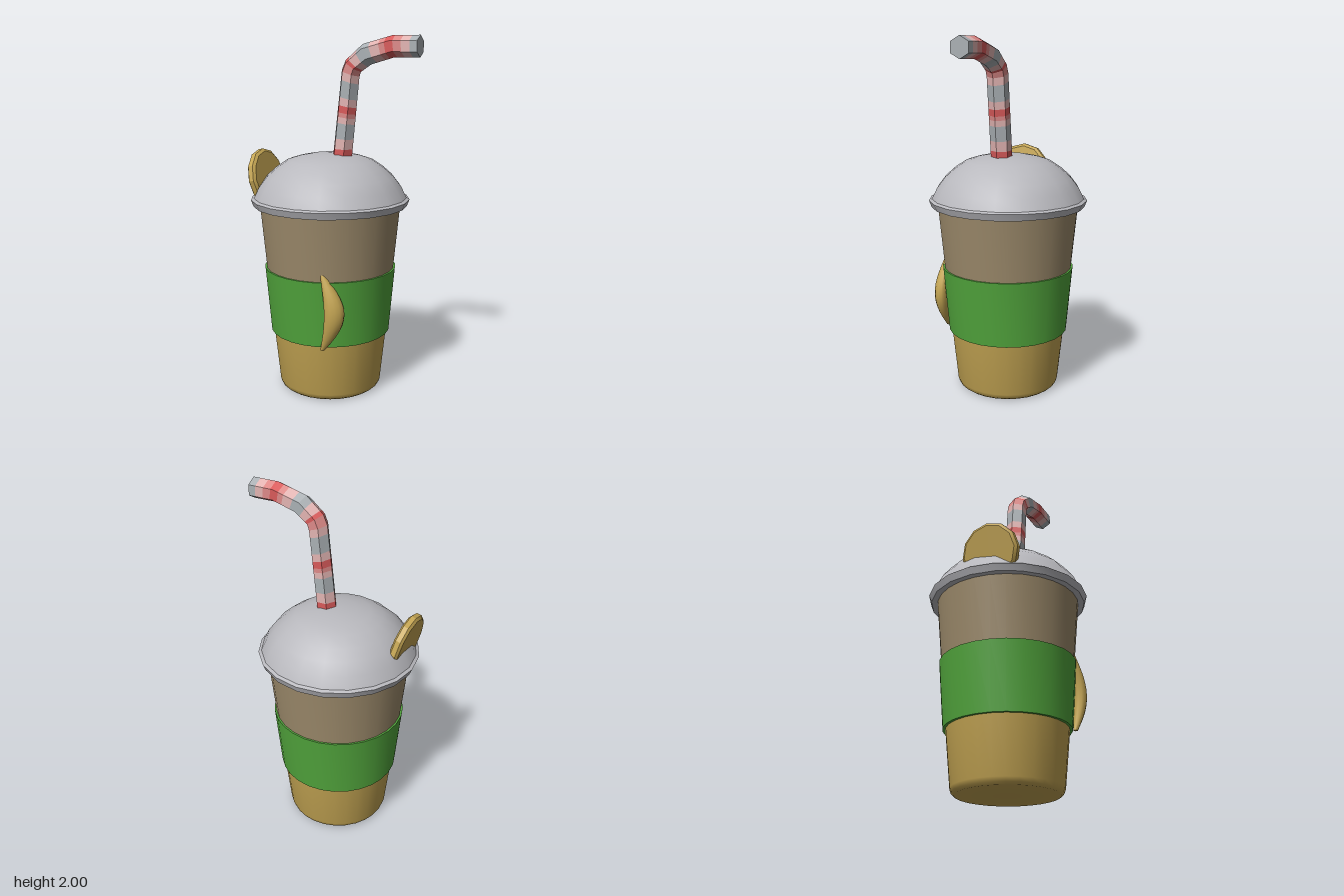
import * as THREE from 'three';
import { toCreasedNormals } from 'three/addons/utils/BufferGeometryUtils.js';

const mat = (name, color) => {
  const m = new THREE.MeshStandardMaterial({ color });
  m.name = name;
  return m;
};

const mesh = (name, geometry, material) => {
  const m = new THREE.Mesh(geometry, material);
  m.name = name;
  return m;
};

// Turned part with edges kept sharp above the crease angle
const lathe = (profile, sides, crease) => toCreasedNormals(
  new THREE.LatheGeometry(profile.map(([r, y]) => new THREE.Vector2(r, y)), sides), crease);

// Skin over a list of closed cross-sections, with optional end caps
function loft(rings, capStart, capEnd, crease) {
  const pos = [];
  const tri = (...pts) => pts.forEach(p => pos.push(p.x, p.y, p.z));
  const n = rings[0].length;
  for (let k = 0; k < rings.length - 1; k++) {
    for (let i = 0; i < n; i++) {
      const j = (i + 1) % n, a = rings[k], b = rings[k + 1];
      tri(a[i], a[j], b[j]);
      tri(a[i], b[j], b[i]);
    }
  }
  const first = rings[0], last = rings[rings.length - 1];
  for (let i = 1; i < n - 1; i++) {
    if (capStart) tri(first[0], first[i + 1], first[i]);
    if (capEnd) tri(last[0], last[i], last[i + 1]);
  }
  const g = new THREE.BufferGeometry();
  g.setAttribute('position', new THREE.Float32BufferAttribute(pos, 3));
  g.computeVertexNormals();
  return toCreasedNormals(g, crease);
}

// Hexagonal bent straw cut into coloured stripes
function makeStraw(red, rose, pink, grey) {
  const straw = new THREE.Group();
  straw.name = 'straw';
  // outer x, y and inner x, y at each bend
  const bends = [
    [-0.018, 1.33, 0.098, 1.33], [0.037, 1.82, 0.142, 1.785], [0.06, 1.873, 0.15, 1.81],
    [0.16, 1.957, 0.21, 1.85], [0.328, 2.0, 0.343, 1.887], [0.484, 2.0, 0.484, 1.885],
  ];
  const ringAt = u => {
    const k = Math.min(Math.floor(u), bends.length - 2);
    const [ox, oy, ix, iy] = bends[k].map((v, i) => THREE.MathUtils.lerp(v, bends[k + 1][i], u - k));
    return Array.from({ length: 6 }, (_, i) => {
      const a = i * Math.PI / 3, c = Math.cos(a) / 2;
      return new THREE.Vector3((ox + ix) / 2 + (ox - ix) * c, (oy + iy) / 2 + (oy - iy) * c, 0.06 * Math.sin(a));
    });
  };
  // end of each stripe, counted in bends
  const stripes = [
    [0.13, red], [0.25, pink], [0.43, grey], [0.5, pink], [0.55, rose], [0.63, red], [0.72, pink],
    [0.91, grey], [1, pink], [2, rose], [2.2, red], [2.65, pink], [3, grey], [3.25, grey],
    [3.6, pink], [3.8, rose], [4, red], [4.1, red], [4.4, rose], [4.72, pink], [5, grey],
  ];
  let start = 0;
  stripes.forEach(([end, material], i) => {
    const g = loft([ringAt(start), ringAt(end)], i === 0, i === stripes.length - 1, 0.3);
    straw.add(mesh('strawStripe', g, material));
    start = end;
  });
  return straw;
}

// Plump crescent hugging the sleeve
function makeCrescent(material) {
  const rings = [], steps = 14, sides = 12;
  const across = new THREE.Vector3(0.85, 0, -0.53), out = new THREE.Vector3(0.53, 0, 0.85);
  for (let k = 0; k <= steps; k++) {
    const t = k / steps, s = Math.sin(Math.PI * t);
    const centre = new THREE.Vector3(0.082 + 0.073 * s, 0.33 + 0.425 * t, 0.338 + 0.004 * s);
    rings.push(Array.from({ length: sides }, (_, i) => {
      const a = i / sides * Math.PI * 2;
      return centre.clone()
        .addScaledVector(out, (0.012 + 0.026 * s) * Math.cos(a))
        .addScaledVector(across, (0.012 + 0.043 * s) * Math.sin(a));
    }));
  }
  return mesh('sleeveCrescent', loft(rings, true, true, 1), material);
}

export function createModel() {
  const root = new THREE.Group();
  root.name = 'drinkCup';
  const tan = mat('tan', 0xc4a553);
  const brown = mat('brown', 0x9c8a6b);
  const green = mat('green', 0x51a43c);
  const lidGrey = mat('lidGrey', 0xb9b9be);
  const red = mat('red', 0xd85a5a);
  const rose = mat('rose', 0xdc8a88);
  const pink = mat('pink', 0xe2b4b2);
  const strawGrey = mat('strawGrey', 0xaab0b4);

  // Cup, sleeve and lid share one axis
  const cup = new THREE.Group();
  cup.name = 'cup';
  cup.position.x = -0.035;
  cup.add(
    mesh('cupBase', lathe([[0, 0], [0.275, 0], [0.29, 0.012], [0.298, 0.035], [0.346, 0.5]], 28, 0.7), tan),
    mesh('cupUpper', lathe([[0.346, 0.5], [0.402, 1.09]], 28, 0.7), brown),
    mesh('sleeve', lathe([[0.32, 0.34], [0.345, 0.34], [0.377, 0.715], [0.36, 0.715]], 28, 0.7), green),
    mesh('lid', lathe([
      [0.39, 1.07], [0.435, 1.07], [0.45, 1.108], [0.433, 1.117], [0.403, 1.178], [0.358, 1.236],
      [0.305, 1.283], [0.242, 1.325], [0.175, 1.346], [0.1, 1.36], [0, 1.364],
    ], 20, 0.6), lidGrey),
  );
  root.add(cup);

  // Round slice tucked into the edge of the lid
  const slice = mesh('slice', lathe([
    [0, -0.026], [0.15, -0.026], [0.166, -0.014], [0.166, 0.014], [0.15, 0.026], [0, 0.026],
  ], 12, 0.4).rotateZ(Math.PI / 2), tan);
  slice.position.set(-0.402, 1.212, 0.085);
  slice.rotation.z = 0.22;
  root.add(slice);

  root.add(makeCrescent(tan), makeStraw(red, rose, pink, strawGrey));
  return root;
}
